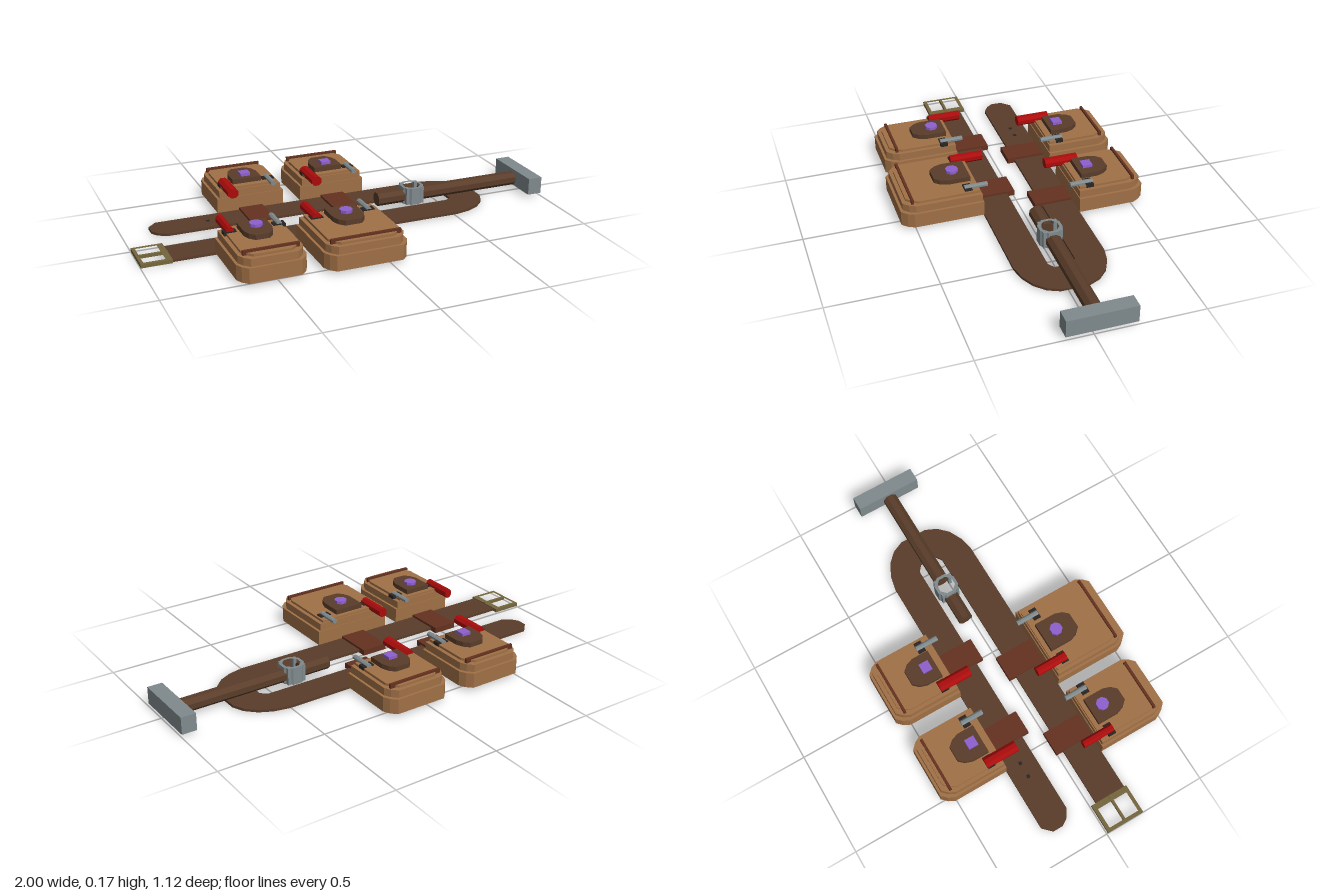
import * as THREE from 'three';

const material = (name, color) => {
  const m = new THREE.MeshStandardMaterial({ color });
  m.name = name;
  return m;
};

export function createModel() {
  const belt = material('belt leather', 0x5a3d2a);
  const loopLeather = material('loop leather', 0x643220);
  const tan = material('tan leather', 0xa07046);
  const red = material('red glass', 0xab0c0c);
  const purple = material('purple gem', 0x8f60cf);
  const steel = material('steel', 0x808a8d);
  const dark = material('dark iron', 0x2a2522);
  const brass = material('brass', 0x75663d);

  const root = new THREE.Group();
  root.name = 'toolBelt';

  // Box given by its limits on each axis
  function box(parent, name, mat, x0, x1, y0, y1, z0, z1) {
    const mesh = new THREE.Mesh(
      new THREE.BoxGeometry(Math.abs(x1 - x0), Math.abs(y1 - y0), Math.abs(z1 - z0)), mat);
    mesh.position.set((x0 + x1) / 2, (y0 + y1) / 2, (z0 + z1) / 2);
    mesh.name = name;
    parent.add(mesh);
    return mesh;
  }

  // Upright prism over an [x, z] outline, with an optional hole
  function prism(parent, name, mat, outline, y0, y1, hole) {
    const toVectors = (pts) => pts.map(([x, z]) => new THREE.Vector2(x, -z));
    const shape = new THREE.Shape(toVectors(outline));
    if (hole) shape.holes.push(new THREE.Path(toVectors(hole)));
    const geo = new THREE.ExtrudeGeometry(shape, { depth: y1 - y0, bevelEnabled: false });
    geo.rotateX(-Math.PI / 2);
    geo.translate(0, y0, 0);
    const mesh = new THREE.Mesh(geo, mat);
    mesh.name = name;
    parent.add(mesh);
    return mesh;
  }

  const polygon = (cx, cz, r, n) => Array.from({ length: n }, (_, i) => {
    const a = ((i + 0.5) / n) * Math.PI * 2;
    return [cx + r * Math.cos(a), cz + r * Math.sin(a)];
  });

  // Octagonal bar between two points along x or z
  function bar(parent, name, mat, axis, from, to, a, y, width, height) {
    const geo = new THREE.CylinderGeometry(0.541, 0.541, 1, 8, 1).toNonIndexed();
    geo.rotateY(Math.PI / 8);
    geo.rotateX(Math.PI / 2);
    geo.computeVertexNormals();
    geo.scale(width, height, to - from);
    if (axis === 'x') geo.rotateY(Math.PI / 2);
    const mid = (from + to) / 2;
    geo.translate(axis === 'x' ? mid : a, y, axis === 'x' ? a : mid);
    geo.computeVertexNormals();
    const mesh = new THREE.Mesh(geo, mat);
    mesh.name = name;
    parent.add(mesh);
  }

  // Belt folded into a U, lying flat
  prism(root, 'beltStrap', belt, [
    [-0.83, -0.24], [0.51, -0.24], [0.58, -0.225], [0.64, -0.195], [0.685, -0.15], [0.71, -0.095],
    [0.71, 0.035], [0.685, 0.09], [0.64, 0.135], [0.58, 0.165], [0.51, 0.18], [-0.87, 0.18],
    [-0.87, 0.03], [0.53, 0.03], [0.56, 0.01], [0.56, -0.07], [0.53, -0.095],
    [-0.81, -0.095], [-0.85, -0.12], [-0.87, -0.15], [-0.87, -0.20],
  ], 0.004, 0.016);
  for (const x of [-0.60, -0.53]) {
    box(root, 'strapHole', dark, x - 0.008, x + 0.008, 0.016, 0.018, -0.175, -0.16);
  }

  // Buckle: square frame with a prong
  prism(root, 'buckleFrame', brass,
    [[-1, 0.005], [-0.86, 0.005], [-0.86, 0.19], [-1, 0.19]], 0.004, 0.021,
    [[-0.985, 0.022], [-0.888, 0.022], [-0.888, 0.173], [-0.985, 0.173]]);
  box(root, 'buckleProng', brass, -0.99, -0.86, 0.01, 0.024, 0.093, 0.105);

  // Outline with cut corners at the end away from the belt
  function pouchOutline(x0, x1, near, far, s, inset) {
    const a = x0 + inset, b = x1 - inset;
    const n = near + s * inset * 0.3, f = far - s * inset;
    return [[a, n], [b, n], [b, f - s * 0.055], [b - 0.015, f - s * 0.025],
      [b - 0.04, f], [a + 0.04, f], [a + 0.015, f - s * 0.025], [a, f - s * 0.055]];
  }

  // side: +1 in front of the belt, -1 behind it
  const pouches = [
    { side: 1, x: [-0.67, -0.36], z: [0.18, 0.53], flap: [-0.58, -0.45], flapZ: [0.21, 0.37],
      gem: [-0.512, 0.27], vial: -0.622, vialW: 0.035, vialZ: [0.10, 0.255],
      pin: -0.40, pinZ: [0.145, 0.255], loop: [-0.58, -0.465], seam: 0.47 },
    { side: 1, x: [-0.295, 0.09], z: [0.18, 0.56], flap: [-0.175, -0.03], flapZ: [0.21, 0.375],
      gem: [-0.10, 0.28], vial: -0.225, vialW: 0.042, vialZ: [0.10, 0.255],
      pin: 0.022, pinZ: [0.145, 0.255], loop: [-0.165, -0.04], seam: 0.505 },
    { side: -1, x: [-0.53, -0.205], z: [-0.24, -0.56], flap: [-0.44, -0.30], flapZ: [-0.28, -0.42],
      gem: [-0.368, -0.328], vial: -0.475, vialW: 0.05, vialZ: [-0.32, -0.16],
      pin: -0.262, pinZ: [-0.32, -0.21], loop: [-0.425, -0.31], seam: -0.51 },
    { side: -1, x: [-0.118, 0.207], z: [-0.24, -0.56], flap: [-0.028, 0.112], flapZ: [-0.28, -0.42],
      gem: [0.044, -0.328], vial: -0.063, vialW: 0.05, vialZ: [-0.32, -0.16],
      pin: 0.15, pinZ: [-0.32, -0.21], loop: [-0.013, 0.102], seam: -0.51 },
  ];

  for (const p of pouches) {
    const s = p.side, [x0, x1] = p.x, [near, far] = p.z;
    const g = new THREE.Group();
    g.name = s > 0 ? 'frontPouch' : 'backPouch';
    root.add(g);

    // Body stepping inwards towards the lid
    prism(g, 'pouchBody', tan, pouchOutline(x0, x1, near, far, s, 0), 0.015, 0.085);
    prism(g, 'pouchShoulder', tan, pouchOutline(x0, x1, near, far, s, 0.012), 0.085, 0.12);
    prism(g, 'pouchLid', tan, pouchOutline(x0, x1, near, far, s, 0.03), 0.12, 0.131);
    box(g, 'lidSeam', loopLeather, x0 + 0.03, x1 - 0.03, 0.12, 0.141, p.seam - 0.006, p.seam + 0.006);

    // Closing flap with a gem stud
    const [fa, fb] = p.flap, [fn, ff] = p.flapZ;
    prism(g, 'flap', belt, [[fa, fn], [fb, fn], [fb, ff - s * 0.06], [fb - 0.012, ff - s * 0.025],
      [fb - 0.035, ff], [fa + 0.035, ff], [fa + 0.012, ff - s * 0.025], [fa, ff - s * 0.06]], 0.13, 0.154);
    const [gx, gz] = p.gem;
    prism(g, 'gemStud', purple,
      s > 0 ? polygon(gx, gz, 0.03, 8) : polygon(gx, gz, 0.033, 4), 0.154, 0.168);

    // Vial and pin, each resting on a dark clip
    bar(g, 'vial', red, 'z', p.vialZ[0], p.vialZ[1], p.vial, 0.133, p.vialW, 0.044);
    bar(g, 'pin', steel, 'z', p.pinZ[0], p.pinZ[1], p.pin, 0.135, 0.024, 0.022);
    const clip = near + s * 0.06;
    for (const x of [p.vial, p.pin]) {
      box(g, 'clip', dark, x - 0.028, x + 0.028, 0.12, 0.136, clip - 0.018, clip + 0.018);
    }

    // Leather loop around the belt
    const inner = s > 0 ? -0.005 : -0.06, outer = near + s * 0.04;
    box(g, 'beltLoop', loopLeather, p.loop[0], p.loop[1], 0, 0.027, inner, outer);
  }

  // Hammer: two-piece octagonal handle, holder ring and block head
  const hz = -0.034;
  const hammer = new THREE.Group();
  hammer.name = 'hammer';
  root.add(hammer);
  bar(hammer, 'handleEnd', belt, 'x', 0.19, 0.335, hz, 0.05, 0.066, 0.062);
  bar(hammer, 'handle', belt, 'x', 0.415, 0.935, hz, 0.05, 0.066, 0.062);
  prism(hammer, 'holderRing', steel, polygon(0.373, hz, 0.057, 8), 0.014, 0.096,
    polygon(0.373, hz, 0.042, 8));
  for (let i = 0; i < 4; i++) {
    const a = (i * Math.PI) / 2 + Math.PI / 4;
    const x = 0.373 + 0.052 * Math.cos(a), z = hz + 0.052 * Math.sin(a);
    box(hammer, 'ringRib', steel, x - 0.008, x + 0.008, 0.014, 0.096, z - 0.008, z + 0.008);
  }
  box(hammer, 'hammerHead', steel, 0.93, 1, 0.015, 0.096, -0.195, 0.122);

  return root;
}
